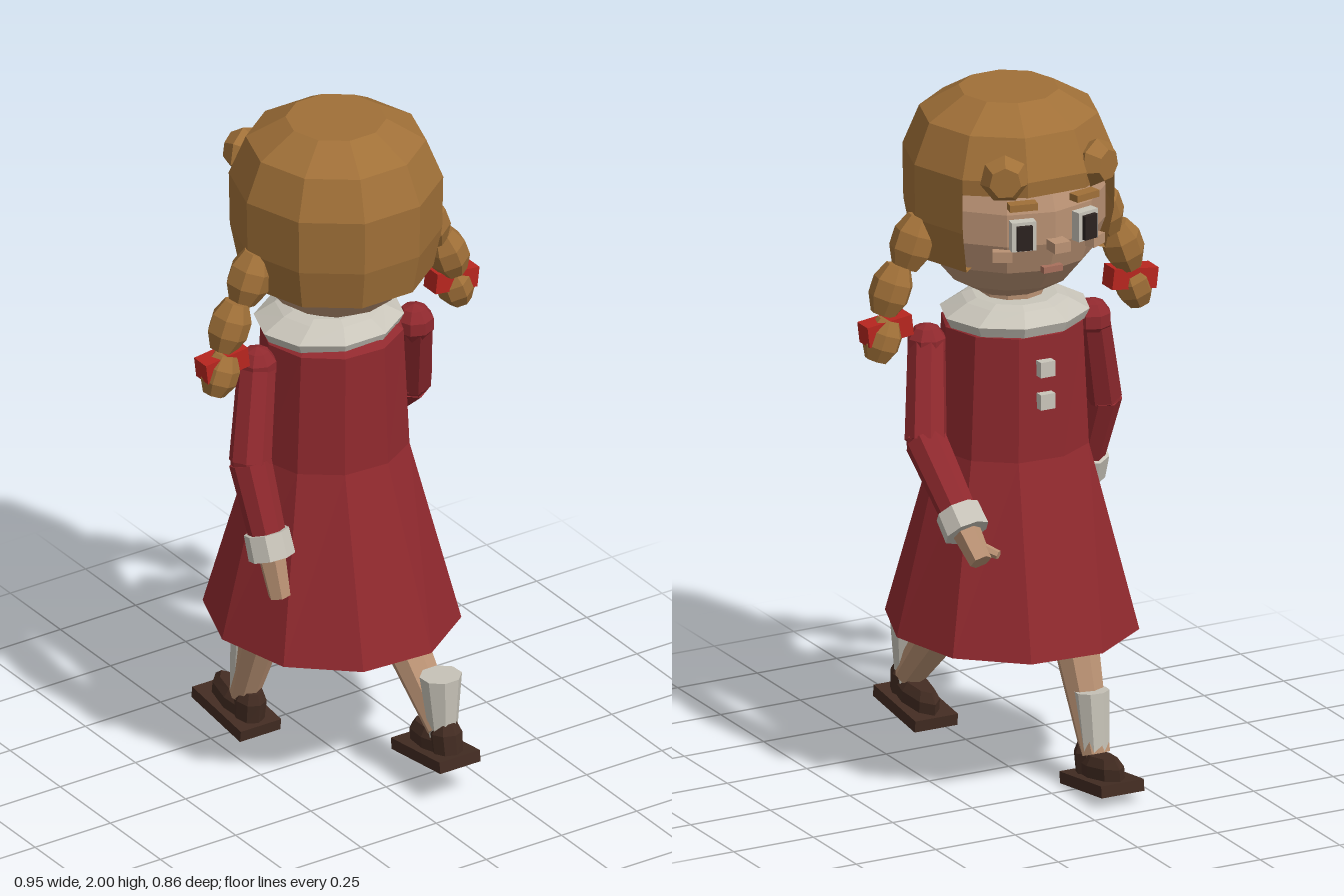
import * as THREE from 'three';

const mat = (name, color, side = THREE.FrontSide) => {
  const m = new THREE.MeshStandardMaterial({ color, flatShading: true, side });
  m.name = name;
  return m;
};

export function createModel() {
  const root = new THREE.Group();
  root.name = 'walkingGirl';

  const hair = mat('hairBrown', 0xa07038, THREE.DoubleSide);
  const skin = mat('skin', 0xba9274);
  const red = mat('coatRed', 0x90292e);
  const bowRed = mat('ribbonRed', 0xb8261f);
  const cream = mat('creamTrim', 0xc9c5ba);
  const shoe = mat('shoeBrown', 0x432c22);
  const dark = mat('pupilDark', 0x2c2220);
  const pink = mat('lipPink', 0xa8705c);

  const add = (name, geo, m, pos = [0, 0, 0], parent = root) => {
    const mesh = new THREE.Mesh(geo, m);
    mesh.name = name;
    mesh.position.set(...pos);
    parent.add(mesh);
    return mesh;
  };
  const box = (name, m, size, pos, parent) => add(name, new THREE.BoxGeometry(...size), m, pos, parent);

  // Tapered prism between two points
  const limb = (name, m, a, b, ra, rb, n = 8) => {
    const A = new THREE.Vector3(...a), B = new THREE.Vector3(...b);
    const d = B.clone().sub(A);
    const mesh = add(name, new THREE.CylinderGeometry(rb, ra, d.length(), n), m);
    mesh.position.copy(A).add(B).multiplyScalar(0.5);
    mesh.quaternion.setFromUnitVectors(new THREE.Vector3(0, 1, 0), d.normalize());
    return mesh;
  };

  // Stacked elliptical rings [y, rx, rz, z], closed at both ends
  const loft = (rings, n) => {
    const pos = [], idx = [], k = rings.length;
    for (const [y, rx, rz, cz = 0] of rings) {
      for (let i = 0; i < n; i++) {
        const t = Math.PI / 2 + (i / n) * Math.PI * 2;
        pos.push(rx * Math.sin(t), y, cz + rz * Math.cos(t));
      }
    }
    for (let r = 0; r < k - 1; r++) {
      for (let i = 0; i < n; i++) {
        const a = r * n + i, b = r * n + (i + 1) % n;
        idx.push(a, b, b + n, a, b + n, a + n);
      }
    }
    for (let i = 1; i < n - 1; i++) {
      idx.push(0, i + 1, i);
      const t = (k - 1) * n;
      idx.push(t, t + i, t + i + 1);
    }
    const g = new THREE.BufferGeometry();
    g.setAttribute('position', new THREE.Float32BufferAttribute(pos, 3));
    g.setIndex(idx);
    g.computeVertexNormals();
    return g;
  };
  const lathe = (pts, n, start, len) =>
    new THREE.LatheGeometry(pts.map(p => new THREE.Vector2(...p)), n, start, len);

  // Coat, slightly twisted by the stride
  const coat = add('coat', loft([
    [0.44, 0.352, 0.378], [0.97, 0.222, 0.2], [1.33, 0.203, 0.19], [1.365, 0.15, 0.14],
  ], 10), red, [0, 0, -0.02]);
  coat.rotation.y = -0.06;
  add('collar', loft([
    [1.335, 0.2, 0.18], [1.365, 0.216, 0.193], [1.4, 0.15, 0.15], [1.41, 0.12, 0.12],
  ], 10), cream, [0, 0, -0.035]);
  for (const y of [1.24, 1.145]) box('button', cream, [0.045, 0.045, 0.035], [0, y, -0.212]);

  // Head and neck
  limb('neck', skin, [0, 1.3, -0.02], [0, 1.48, -0.02], 0.09, 0.09, 10);
  add('head', new THREE.SphereGeometry(0.27, 12, 9), skin, [0, 1.67, -0.005]);

  // Hair: closed crown above, side and back curtain open at the face
  add('hairCrown', lathe([
    [0.23, 1.78], [0.294, 1.775], [0.297, 1.82], [0.25, 1.935], [0.14, 2], [0, 2],
  ], 10, Math.PI / 2, Math.PI * 2), hair);
  add('hairCurtain', lathe([
    [0.225, 1.545], [0.27, 1.54], [0.294, 1.66], [0.297, 1.82],
  ], 7, -Math.PI * 0.7, Math.PI * 1.4), hair);

  // Face details and fringe locks on both sides
  for (const s of [-1, 1]) {
    const eye = new THREE.Group();
    eye.name = 'eye';
    eye.position.set(s * 0.098, 1.662, -0.262);
    eye.rotation.y = -s * 0.22;
    root.add(eye);
    box('eyeWhite', cream, [0.07, 0.085, 0.03], [0, 0, 0], eye);
    box('pupil', dark, [0.045, 0.07, 0.02], [0, -0.002, -0.018], eye);
    box('eyebrow', hair, [0.08, 0.02, 0.035], [0, 0.085, 0.002], eye);
    const cheek = box('cheek', skin, [0.055, 0.03, 0.03], [s * 0.145, 1.6, -0.233]);
    cheek.rotation.y = -s * 0.5;
    const lock = add('fringeLock', lathe([
      [0, -0.035], [0.05, -0.035], [0.07, 0], [0.045, 0.04], [0, 0.04],
    ], 7, 0, Math.PI * 2), hair, [s * 0.145, 1.83, -0.245]);
    lock.rotation.set(-Math.PI / 2, 0, 0);
    lock.rotation.order = 'YXZ';
    lock.rotation.y = -s * 0.45;
  }
  box('nose', skin, [0.05, 0.03, 0.05], [0, 1.625, -0.29]);
  box('mouth', pink, [0.06, 0.018, 0.02], [0, 1.545, -0.25]);

  // Braids made of faceted beads, swinging opposite ways
  const bead = (r, h) => lathe([
    [0, -h], [r * 0.62, -h], [r, -h * 0.35], [r, h * 0.35], [r * 0.62, h], [0, h],
  ], 7, 0, Math.PI * 2);
  for (const s of [-1, 1]) {
    const swing = s > 0 ? -0.03 : 0.04;
    [[0.295, 1.59, 0.01, 0.062, 0.075], [0.37, 1.465, 0.01 + swing * 0.3, 0.058, 0.072],
      [0.413, 1.335, swing, 0.053, 0.06]].forEach(([x, y, z, r, h]) => {
      add('braidBead', bead(r, h), hair, [s * x, y, z]).rotation.z = s * 0.35;
    });
    const bow = box('ribbon', bowRed, [0.14, 0.06, 0.06], [s * 0.4, 1.365, swing * 0.8]);
    bow.rotation.z = -s * 0.12;
  }

  // Arms: the +x one swings toward the face side, the other back
  const arms = [
    { s: [0.25, 1.285, 0.015], e: [0.31, 1.04, -0.09], c: [0.3, 0.885, -0.255], w: [0.296, 0.835, -0.305], h: [0.29, 0.77, -0.375] },
    { s: [-0.25, 1.285, -0.02], e: [-0.315, 1.03, 0.045], c: [-0.308, 0.84, 0.115], w: [-0.306, 0.77, 0.14], h: [-0.297, 0.655, 0.165] },
  ];
  for (const { s, e, c, w, h } of arms) {
    add('shoulder', new THREE.SphereGeometry(0.058, 8, 5), red, s);
    limb('upperSleeve', red, s, e, 0.054, 0.06);
    add('elbow', new THREE.SphereGeometry(0.058, 8, 5), red, e);
    limb('lowerSleeve', red, e, c, 0.06, 0.053);
    limb('cuff', cream, c, w, 0.064, 0.066);
    limb('hand', skin, w, h, 0.04, 0.032, 6);
  }
  limb('thumb', skin, [0.275, 0.8, -0.335], [0.24, 0.785, -0.385], 0.018, 0.013, 6);
  limb('thumb', skin, [-0.285, 0.75, 0.13], [-0.275, 0.69, 0.115], 0.018, 0.013, 6);

  // Legs and socks
  limb('rearLeg', skin, [0.125, 0.53, 0.01], [0.127, 0.19, 0.34], 0.078, 0.045);
  limb('rearSock', cream, [0.125, 0.355, 0.335], [0.127, 0.16, 0.345], 0.06, 0.038);
  limb('frontLeg', skin, [-0.125, 0.52, -0.11], [-0.13, 0.1, -0.265], 0.075, 0.042);
  limb('frontSock', cream, [-0.128, 0.28, -0.245], [-0.13, 0.11, -0.262], 0.05, 0.04);

  // Shoes
  const shoeAt = (name, pos, tilt) => {
    const g = new THREE.Group();
    g.name = name;
    g.position.set(...pos);
    g.rotation.x = tilt;
    root.add(g);
    box('sole', shoe, [0.134, 0.034, 0.245], [0, 0, 0], g);
    add('upper', loft([[0.01, 0.045, 0.11], [0.05, 0.045, 0.11], [0.075, 0.03, 0.085]], 8), shoe, [0, 0, 0], g);
    add('heelCup', loft([[0.01, 0.042, 0.05], [0.075, 0.045, 0.05], [0.105, 0.032, 0.035]], 8), shoe, [0, 0, 0.06], g);
  };
  shoeAt('rearShoe', [0.127, 0.106, 0.307], -0.13);
  shoeAt('frontShoe', [-0.127, 0.033, -0.307], 0.13);

  return root;
}
